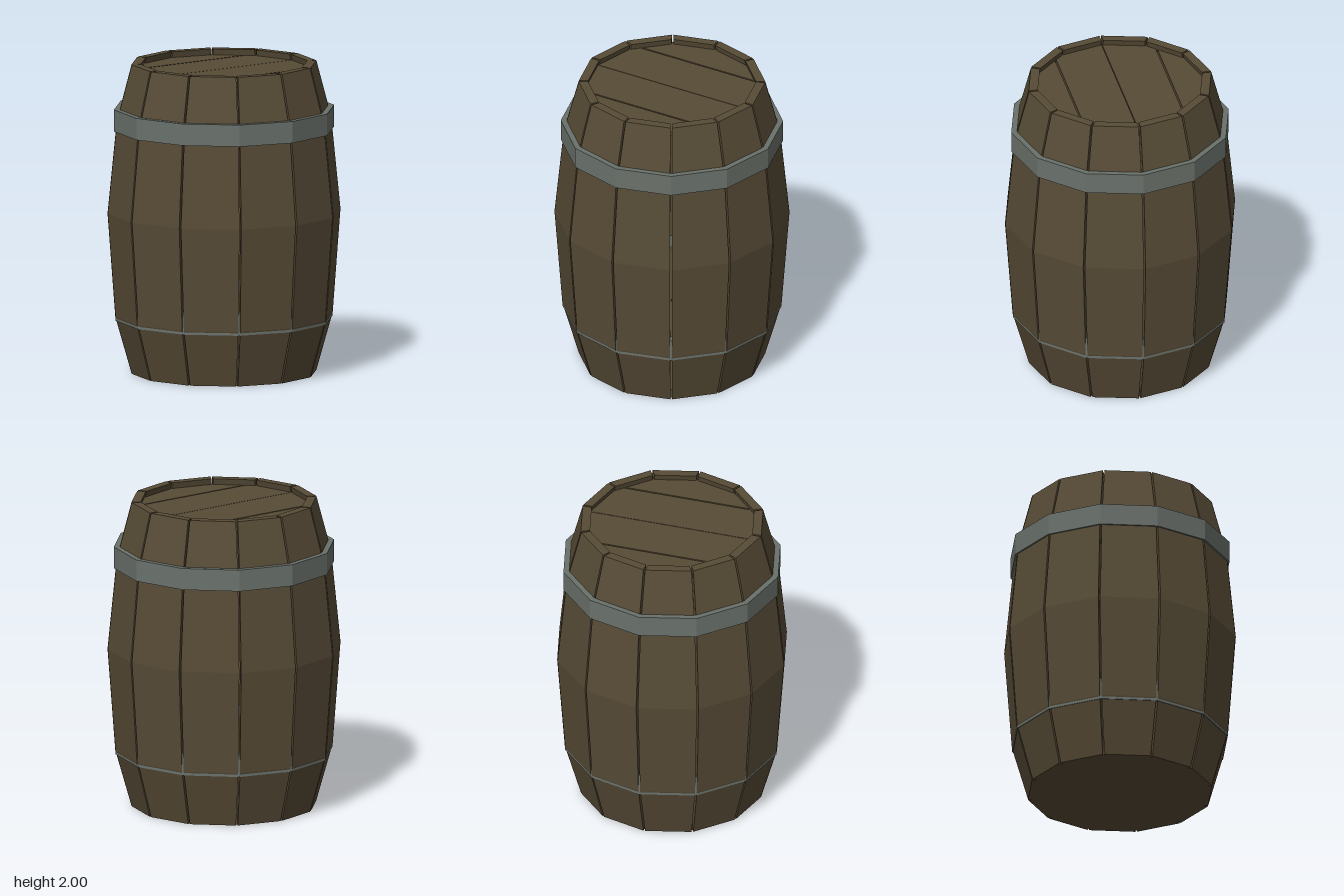
import * as THREE from 'three';

const SIDES = 12;
const STEP = (Math.PI * 2) / SIDES;

// One stave: a four-cornered section swept up the barrel's profile
function staveGeometry() {
  const profile = [[0, 0.595], [0.37, 0.70], [1.04, 0.75], [1.64, 0.69], [2, 0.595]];
  const thickness = 0.06, halfGap = 0.006;
  const pos = [], index = [];
  const corner = (r, y, side) => {
    const a = (side * STEP) / 2;
    const t = -side * halfGap; // pulls the edge in from the seam
    pos.push(r * Math.sin(a) + t * Math.cos(a), y, r * Math.cos(a) - t * Math.sin(a));
  };
  for (const [y, r] of profile) {
    corner(r, y, -1);
    corner(r, y, 1);
    corner(r - thickness, y, 1);
    corner(r - thickness, y, -1);
  }
  for (let i = 0; i < profile.length - 1; i++) {
    for (let j = 0; j < 4; j++) {
      const a = i * 4 + j, b = i * 4 + ((j + 1) % 4);
      index.push(a, b, b + 4, a, b + 4, a + 4);
    }
  }
  const top = (profile.length - 1) * 4;
  index.push(0, 2, 1, 0, 3, 2, top, top + 1, top + 2, top, top + 2, top + 3);
  const geo = new THREE.BufferGeometry();
  geo.setAttribute('position', new THREE.Float32BufferAttribute(pos, 3));
  geo.setIndex(index);
  const flat = geo.toNonIndexed();
  flat.computeVertexNormals();
  return flat;
}

const ringPoints = (r) =>
  Array.from({ length: SIDES }, (_, i) => new THREE.Vector2(r * Math.cos(i * STEP), r * Math.sin(i * STEP)));

// Extrudes a flat shape upwards from y0 to y1
function slab(shape, y0, y1) {
  const geo = new THREE.ExtrudeGeometry(shape, { depth: y1 - y0, bevelEnabled: false });
  geo.rotateX(-Math.PI / 2);
  geo.translate(0, y0, 0);
  return geo;
}

function hoopGeometry(inner, outer, y0, y1) {
  const shape = new THREE.Shape(ringPoints(outer));
  shape.holes.push(new THREE.Path(ringPoints(inner)));
  return slab(shape, y0, y1);
}

// A lid plank: the slice of the twelve-sided lid between x0 and x1
function plankGeometry(r, x0, x1, y0, y1) {
  const upper = ringPoints(r).slice(0, SIDES / 2 + 1).reverse();
  upper[0].set(-r, 0);
  upper[upper.length - 1].set(r, 0);
  const depthAt = (x) => {
    for (let i = 0; i < upper.length - 1; i++) {
      const a = upper[i], b = upper[i + 1];
      if (x <= b.x) return a.y + ((b.y - a.y) * (x - a.x)) / (b.x - a.x);
    }
    return 0;
  };
  const xs = [x0, ...upper.map((p) => p.x).filter((x) => x > x0 + 1e-4 && x < x1 - 1e-4), x1];
  const lower = xs.map((x) => new THREE.Vector2(x, -depthAt(x)));
  const back = xs.map((x) => new THREE.Vector2(x, depthAt(x))).reverse();
  return slab(new THREE.Shape([...lower, ...back]), y0, y1);
}

export function createModel() {
  const wood = new THREE.MeshStandardMaterial({ color: 0x574b36 });
  wood.name = 'brown wood';
  const iron = new THREE.MeshStandardMaterial({ color: 0x6a716b });
  iron.name = 'grey iron';

  const barrel = new THREE.Group();
  barrel.name = 'barrel';
  const add = (name, geo, mat, parent = barrel) => {
    const mesh = new THREE.Mesh(geo, mat);
    mesh.name = name;
    parent.add(mesh);
    return mesh;
  };

  // Staves, with a seam at every corner
  const staves = new THREE.Group();
  staves.name = 'staves';
  barrel.add(staves);
  const stave = staveGeometry();
  for (let i = 0; i < SIDES; i++) {
    add('stave', stave, wood, staves).rotation.y = (i + 0.5) * STEP;
  }

  // Hoops; the lower one is mostly sunk into the staves
  add('upperHoop', hoopGeometry(0.67, 0.71, 1.57, 1.71), iron);
  add('lowerHoop', hoopGeometry(0.645, 0.699, 0.345, 0.49), iron);

  // Recessed lid made of four planks
  const lid = new THREE.Group();
  lid.name = 'lid';
  barrel.add(lid);
  const r = 0.575;
  for (const [x0, x1] of [[-r, -0.335], [-0.325, -0.002], [0.002, 0.325], [0.335, r]]) {
    add('lidPlank', plankGeometry(r, x0, x1, 1.93, 1.96), wood, lid);
  }

  // Base
  add('base', slab(new THREE.Shape(ringPoints(r)), 0, 0.06), wood);

  return barrel;
}
